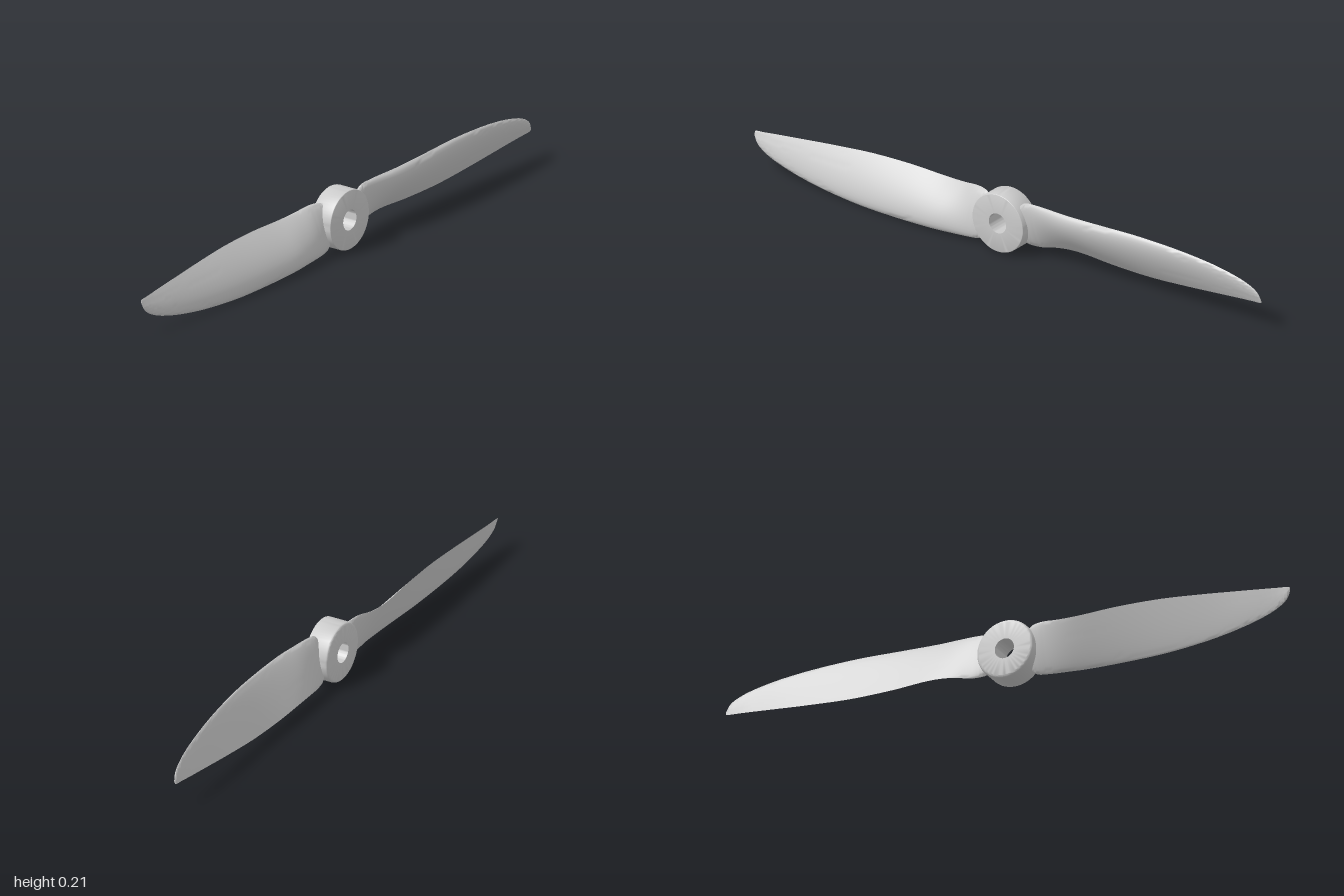
import * as THREE from 'three';
import { toCreasedNormals } from 'three/addons/utils/BufferGeometryUtils.js';

const HUB_Y = 0.106;

// Blade stations, root to tip:
// [leading x, y, z, trailing x, y, z, front thickness, back thickness, roundness]
const STATIONS = [
  [0.065, 0.172, 0.012, 0.065, 0.045, -0.012, 0.014, 0.012, 1],
  [0.09, 0.193, 0.012, 0.09, 0.035, -0.022, 0.018, 0.012, 0.9],
  [0.13, 0.199, 0.015, 0.13, 0.034, -0.03, 0.022, 0.01, 0.6],
  [0.19, 0.202, 0.02, 0.19, 0.044, -0.041, 0.027, 0.008, 0.25],
  [0.27, 0.205, 0.026, 0.27, 0.048, -0.046, 0.03, 0.006, 0],
  [0.4, 0.209, 0.025, 0.4, 0.044, -0.043, 0.028, 0.005, 0],
  [0.55, 0.211, 0.019, 0.55, 0.047, -0.038, 0.024, 0.004, 0],
  [0.7, 0.203, 0.01, 0.7, 0.06, -0.033, 0.018, 0.003, 0],
  [0.82, 0.188, 0.001, 0.82, 0.073, -0.029, 0.013, 0.003, 0],
  [0.91, 0.168, -0.006, 0.91, 0.083, -0.026, 0.009, 0.002, 0],
  [0.96, 0.149, -0.011, 0.965, 0.089, -0.023, 0.006, 0.002, 0],
  [0.987, 0.13, -0.014, 0.99, 0.091, -0.022, 0.004, 0.002, 0],
  [1.0, 0.106, -0.017, 1.0, 0.093, -0.021, 0.002, 0.001, 0],
];

// Smooth curve through three consecutive station columns
const columnCurve = (c) =>
  new THREE.CatmullRomCurve3(STATIONS.map((s) => new THREE.Vector3(s[c], s[c + 1], s[c + 2])), false, 'catmullrom', 0.5);

// Loft twisted aerofoil sections from root to tip
function bladeGeometry() {
  const [lead, trail, shape] = [0, 3, 6].map(columnCurve);
  const rings = 72, n = 32;
  const pos = [], index = [];
  for (let i = 0; i <= rings; i++) {
    const L = lead.getPoint(i / rings), T = trail.getPoint(i / rings), S = shape.getPoint(i / rings);
    const chord = T.clone().sub(L);
    const normal = new THREE.Vector3(0, chord.z, -chord.y).normalize();
    for (let j = 0; j < n; j++) {
      const a = (j / n) * Math.PI * 2;
      const s = (1 - Math.cos(a)) / 2;
      const foil = 2.6 * Math.sqrt(s) * (1 - s);
      const oval = 2 * Math.sqrt(s * (1 - s));
      const h = THREE.MathUtils.lerp(foil, oval, THREE.MathUtils.clamp(S.z, 0, 1));
      const p = L.clone().addScaledVector(chord, s).addScaledVector(normal, h * (j < n / 2 ? S.x : -S.y));
      pos.push(p.x, p.y - HUB_Y, p.z);
    }
  }
  for (let i = 0; i < rings; i++) {
    for (let j = 0; j < n; j++) {
      const k = (j + 1) % n;
      const a = i * n + j, b = i * n + k, c = a + n, d = b + n;
      index.push(a, b, c, b, d, c);
    }
  }
  // End caps
  const tip = rings * n;
  for (let j = 1; j < n - 1; j++) {
    index.push(0, j + 1, j);
    index.push(tip, tip + j, tip + j + 1);
  }
  const g = new THREE.BufferGeometry();
  g.setAttribute('position', new THREE.Float32BufferAttribute(pos, 3));
  g.setIndex(index);
  return toCreasedNormals(g, 0.9);
}

// Ring-shaped hub with rounded rims and a shaft hole
function hubGeometry() {
  const R = 0.1, hole = 0.034, back = -0.044, front = 0.037;
  const pts = [new THREE.Vector2(hole, back)];
  const rim = (cy, r, from) => {
    for (let i = 0; i <= 5; i++) {
      const a = from + (i / 5) * Math.PI / 2;
      pts.push(new THREE.Vector2(R - r + r * Math.cos(a), cy + r * Math.sin(a)));
    }
  };
  rim(back + 0.01, 0.01, -Math.PI / 2);
  rim(front - 0.003, 0.003, 0);
  pts.push(new THREE.Vector2(hole, front), new THREE.Vector2(hole, back));
  const g = new THREE.LatheGeometry(pts, 64);
  g.rotateX(Math.PI / 2);
  return toCreasedNormals(g, 0.6);
}

export function createModel() {
  const group = new THREE.Group();
  group.name = 'propeller';
  const material = new THREE.MeshStandardMaterial({ color: 0xcccccc });

  const hub = new THREE.Mesh(hubGeometry(), material);
  hub.name = 'hub';
  hub.position.y = HUB_Y;
  group.add(hub);

  // Two identical blades, half a turn apart
  const blade = bladeGeometry();
  ['leftBlade', 'rightBlade'].forEach((name, i) => {
    const mesh = new THREE.Mesh(blade, material);
    mesh.name = name;
    mesh.position.y = HUB_Y;
    mesh.rotation.z = i * Math.PI;
    group.add(mesh);
  });
  return group;
}
